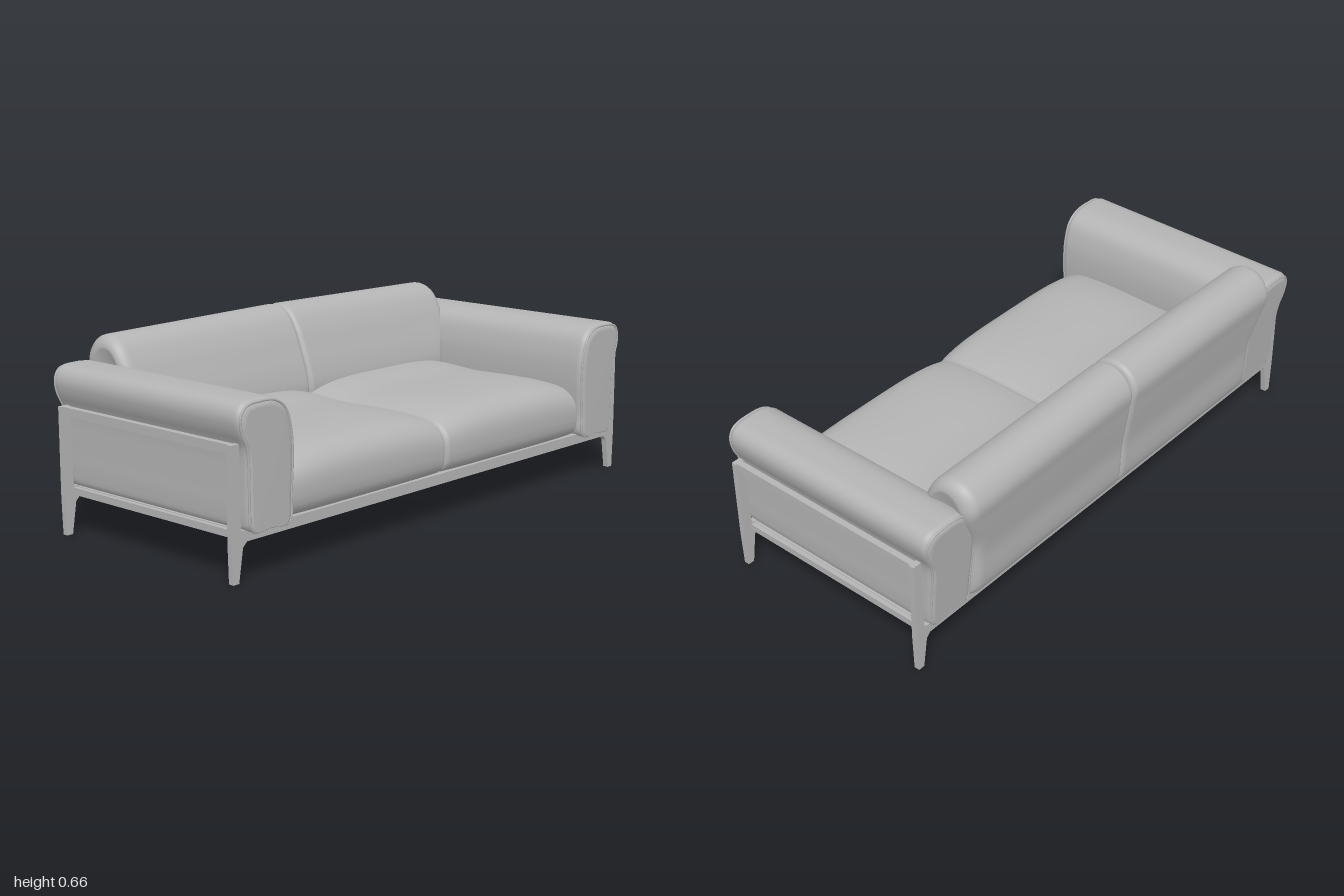
import * as THREE from 'three';

const grey = new THREE.MeshStandardMaterial({ color: 0xb4b4b4 });
grey.name = 'soft grey';

// Smooth closed outline through a few 2D points (counter-clockwise)
function outline(points, count = 72) {
  const curve = new THREE.CatmullRomCurve3(
    points.map(([u, v]) => new THREE.Vector3(u, v, 0)), true, 'centripetal');
  return curve.getSpacedPoints(count).slice(0, count).map((p) => [p.x, p.y]);
}

// Shrinks an outline by d, keeping its bottom edge on the deck
function inset(profile, d) {
  const us = profile.map((p) => p[0]), vs = profile.map((p) => p[1]);
  const u0 = Math.min(...us), u1 = Math.max(...us);
  const v0 = Math.min(...vs), v1 = Math.max(...vs);
  const c = (u0 + u1) / 2, ku = 1 - (2 * d) / (u1 - u0), kv = 1 - d / (v1 - v0);
  return profile.map(([u, v]) => [c + (u - c) * ku, v0 + (v - v0) * kv]);
}

// Padded volume: sweeps an outline from w0 to w1 with rounded ends of radius r0 and r1
function pad(profile, w0, w1, r0, r1, place) {
  const stations = [], quarter = 7, middle = 20, n = profile.length;
  for (let i = 0; i <= quarter; i++) {
    const a = (i / quarter) * Math.PI / 2;
    stations.push([w0 + r0 * (1 - Math.cos(a)), r0 * (1 - Math.sin(a))]);
  }
  for (let i = 1; i < middle; i++) {
    stations.push([THREE.MathUtils.lerp(w0 + r0, w1 - r1, i / middle), 0]);
  }
  for (let i = quarter; i >= 0; i--) {
    const a = (i / quarter) * Math.PI / 2;
    stations.push([w1 - r1 * (1 - Math.cos(a)), r1 * (1 - Math.sin(a))]);
  }
  const pos = [], index = [];
  const add = (u, v, w) => pos.push(...place(u, v, w, (w - w0) / (w1 - w0)));
  for (const [w, d] of stations) inset(profile, d).forEach(([u, v]) => add(u, v, w));
  for (let s = 0; s < stations.length - 1; s++) {
    for (let i = 0; i < n; i++) {
      const a = s * n + i, b = s * n + (i + 1) % n;
      index.push(a, b, b + n, a, b + n, a + n);
    }
  }
  // End caps fan out from a centre point
  [0, stations.length - 1].forEach((s) => {
    const ring = inset(profile, stations[s][1]);
    const mean = (k) => ring.reduce((sum, p) => sum + p[k], 0) / n;
    const centre = pos.length / 3;
    add(mean(0), mean(1), stations[s][0]);
    for (let i = 0; i < n; i++) {
      const a = s * n + i, b = s * n + (i + 1) % n;
      if (s === 0) index.push(centre, b, a); else index.push(centre, a, b);
    }
  });
  const g = new THREE.BufferGeometry();
  g.setAttribute('position', new THREE.Float32BufferAttribute(pos, 3));
  g.setIndex(index);
  g.computeVertexNormals();
  return g;
}

export function createModel() {
  const sofa = new THREE.Group();
  sofa.name = 'sofa';
  const add = (name, geometry, x = 0, y = 0, z = 0) => {
    const mesh = new THREE.Mesh(geometry, grey);
    mesh.name = name;
    mesh.position.set(x, y, z);
    sofa.add(mesh);
    return mesh;
  };
  const box = (name, w, h, d, x, y, z) => add(name, new THREE.BoxGeometry(w, h, d), x, y, z);

  // Cushion outlines in (z, y), arm outline in (x, y)
  const seat = outline([[-0.3, 0.16], [0.1, 0.16], [0.41, 0.16], [0.436, 0.18], [0.446, 0.24],
    [0.436, 0.31], [0.39, 0.355], [0.28, 0.374], [0, 0.372], [-0.3, 0.36]]);
  const back = outline([[-0.4, 0.165], [-0.28, 0.165], [-0.22, 0.25], [-0.195, 0.36],
    [-0.207, 0.43], [-0.235, 0.51], [-0.265, 0.58], [-0.305, 0.635], [-0.36, 0.657],
    [-0.42, 0.642], [-0.46, 0.585], [-0.453, 0.51], [-0.428, 0.35]]);
  const arm = [[0.765, 0.16], [0.85, 0.16], [0.94, 0.16], [0.948, 0.2], [0.95, 0.3],
    [0.956, 0.42], [0.978, 0.47], [0.986, 0.52], [0.965, 0.556], [0.9, 0.566],
    [0.83, 0.56], [0.783, 0.53], [0.757, 0.46], [0.75, 0.38], [0.757, 0.25]];

  // Rear end of each arm leans backwards
  const placeArm = (x, y, z, t) => [x, y, z - (y - 0.16) * 0.09 * (1 - t)];

  for (const side of [-1, 1]) {
    const label = side > 0 ? 'left' : 'right';
    const range = (length) => (side > 0 ? [-length, 0] : [0, length]);

    // Crowned seat cushion
    add(label + 'SeatCushion', pad(seat, ...range(0.762), 0.02, 0.02, (z, y, w, t) => {
      const k = Math.abs(2 * t - 1);
      return [-w, 0.16 + (y - 0.16) * (1 - 0.15 * k ** 4), z - 0.008 * k ** 4];
    }));

    // Back cushion, wider where it rolls out over the arms
    const rounding = side > 0 ? [0.045, 0.022] : [0.022, 0.045];
    add(label + 'BackCushion', pad(back, ...range(0.822), ...rounding, (z, y, w) => {
      const wide = THREE.MathUtils.smoothstep(y, 0.36, 0.58);
      return [-w * (0.925 + 0.075 * wide), y - 0.012 * Math.abs(w) * wide, z];
    }));

    // Padded arm
    const armProfile = outline(side > 0 ? arm : arm.map(([x, y]) => [-x, y]).reverse());
    add(label + 'Arm', pad(armProfile, -0.395, 0.457, 0.028, 0.028, placeArm));

    // Piping around both end panels of the arm
    [[-0.388, 0], [0.45, 1]].forEach(([z, t]) => {
      const path = inset(armProfile, 0.008).filter((p, i) => i % 2 === 0)
        .map(([x, y]) => new THREE.Vector3(...placeArm(x, y, z, t)));
      add(label + 'ArmPiping', new THREE.TubeGeometry(
        new THREE.CatmullRomCurve3(path, true), 90, 0.0045, 6, true));
    });

    // Tapered corner posts with a bracket under the deck
    const post = new THREE.Shape([[0.972, 0], [0.996, 0], [1, 0.13], [1, 0.435], [0.966, 0.435],
      [0.962, 0.165], [0.935, 0.16], [0.935, 0.128], [0.954, 0.11]]
      .map(([x, y]) => new THREE.Vector2(side * x, y)));
    for (const z of [0.42, -0.37]) {
      add(label + 'Post', new THREE.ExtrudeGeometry(post, { depth: 0.02, bevelEnabled: false }),
        0, 0, z - 0.01);
    }

    // Upper and lower side rails
    box(label + 'UpperRail', 0.022, 0.03, 0.78, side * 0.983, 0.42, 0.025);
    box(label + 'LowerRail', 0.022, 0.024, 0.78, side * 0.955, 0.147, 0.025);
  }

  // Deck and long rails
  box('deck', 1.9, 0.02, 0.78, 0, 0.151, 0.025);
  box('underside', 1.5, 0.012, 0.76, 0, 0.138, 0.025);
  for (const z of [0.42, -0.37]) box('longRail', 1.9, 0.036, 0.022, 0, 0.145, z);

  // Round middle legs
  for (const x of [-0.62, 0, 0.58]) {
    add('middleLeg', new THREE.CylinderGeometry(0.019, 0.015, 0.135, 20), x, 0.0705, 0.025);
  }
  return sofa;
}
